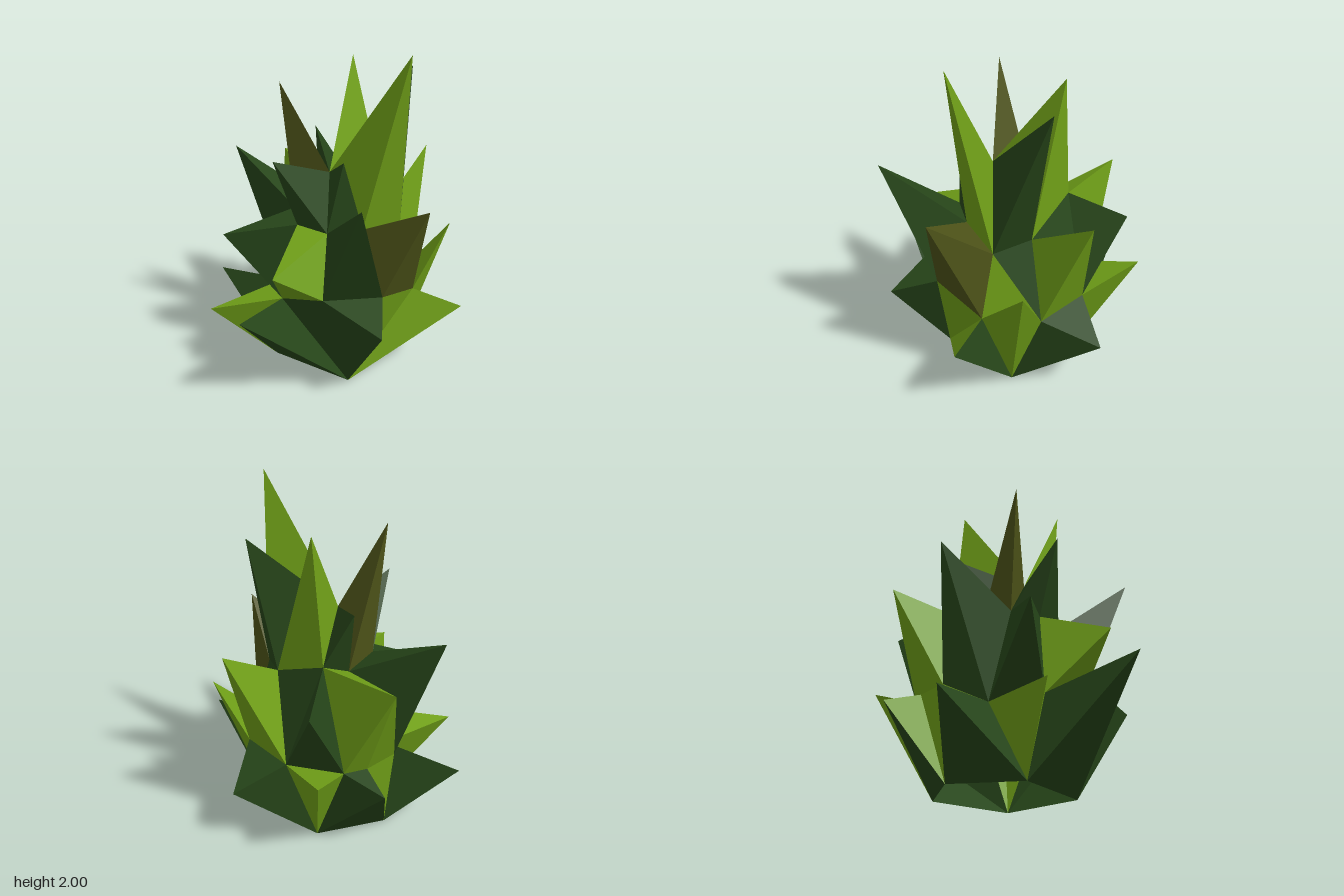
import * as THREE from 'three';

// Light, dark and brownish foliage
const paint = (color) => new THREE.MeshStandardMaterial({ color, flatShading: true, side: THREE.DoubleSide });
const mats = { L: paint(0x70a018), D: paint(0x264519), B: paint(0x4c5218) };

// Corners of the faceted core, which is open underneath
const P = {
  // ground pentagon
  b0: [-0.18, 0, 0.31], b1: [0.34, 0, 0.31], b2: [0.43, 0, -0.2], b3: [0.08, 0, -0.43], b4: [-0.27, 0, -0.2],
  // lower ring
  c0: [-0.09, 0.63, 0.48], c1: [0.24, 0.52, 0.46], c2: [0.51, 0.52, 0.26], c3: [0.55, 0.52, -0.08],
  c4: [0.4, 0.52, -0.38], c5: [0.28, 0.52, -0.45], c6: [0.07, 0.52, -0.48], c7: [-0.09, 0.43, -0.3],
  c8: [-0.31, 0.48, -0.1], c9: [-0.34, 0.63, 0.25],
  // upper ring
  d0: [-0.03, 0.97, 0.28], d1: [0.23, 0.91, 0.35], d2: [0.35, 0.96, 0.16], d3: [0.34, 1.1, -0.18],
  d4: [0.11, 0.97, -0.17], d5: [-0.12, 1.0, -0.16], d6: [-0.23, 0.97, -0.04], d7: [-0.2, 0.97, 0.16],
  // crown
  top: [-0.04, 1.26, 0.04],
};

// Each leaf: base corners around its foot, tip, and a colour per side (one letter = all sides)
const tiers = {
  lowerLeaf: [
    ['b0 b1 c1', [0.31, 0.49, 0.76], 'DDL'],
    ['b1 c2 c1', [0.56, 0.85, 0.49], 'L'],
    ['b1 b2 c3 c2', [0.81, 0.38, 0.09], 'D'],
    ['b2 c4 c3', [0.69, 0.62, -0.45], 'L'],
    ['b2 b3 c5 c4', [0.36, 0.46, -0.64], 'DLDD'],
    ['b3 b4 c7', [-0.2, 0.38, -0.76], 'D'],
    ['b4 c8 c7', [-0.6, 0.41, -0.42], 'L'],
    ['b4 b0 c8', [-0.81, 0.64, 0.07], 'D'],
    ['b0 c0 c9', [-0.31, 0.54, 0.65], 'D'],
  ],
  middleLeaf: [
    ['c0 c1 d1 d0', [0.05, 1.18, 0.67], 'B'],
    ['c2 c3 d2', [0.75, 1.21, 0.16], 'L'],
    ['c3 c4 d3', [0.64, 0.98, -0.35], 'D'],
    ['c4 c5 c6 d4 d3', [0.32, 1.1, -0.66], 'L'],
    ['c6 c7 d5 d4', [-0.09, 1.24, -0.68], 'D'],
    ['c7 c8 d6 d5', [-0.48, 0.88, -0.4], 'D'],
    ['c8 c9 d7 d6', [-0.6, 0.84, 0.12], 'L'],
    ['c9 c0 d0 d7', [-0.41, 1.33, 0.57], 'D'],
  ],
  crownLeaf: [
    ['d0 d1 top', [0.06, 2.0, 0.5], 'L'],
    ['d1 d2 top', [0.5, 1.79, 0.2], 'D'],
    ['d2 d3 top', [0.34, 1.83, -0.11], 'L'],
    ['d3 d4 top', [0.2, 1.39, -0.28], 'D'],
    ['d4 d5 top', [-0.19, 1.78, -0.19], 'B'],
    ['d5 d6 d7 top', [-0.39, 1.41, -0.06], 'D'],
    ['d7 d0 top', [-0.12, 1.39, 0.21], 'D'],
  ],
};

// Flat facets left without a leaf
const facets = [
  ['b0 c1 c0', 'L'], ['c1 c2 d1', 'L'], ['c2 d2 d1', 'D'], ['c3 d3 d2', 'D'],
  ['b3 c5 c6', 'L'], ['b3 c6 c7', 'L'], ['b0 c9 c8', 'D'],
];

const points = (names) => names.split(' ').map((n) => new THREE.Vector3(...P[n]));

// Triangle turned so that its front looks away from an inner point
function outward(a, b, c, inner) {
  const n = b.clone().sub(a).cross(c.clone().sub(a));
  return n.dot(a.clone().sub(inner)) < 0 ? [a, c, b] : [a, b, c];
}

function facetMesh(triangles, colour, name) {
  const geo = new THREE.BufferGeometry().setFromPoints(triangles.flat());
  geo.computeVertexNormals();
  const mesh = new THREE.Mesh(geo, mats[colour]);
  mesh.name = name;
  return mesh;
}

// Pointed pyramid over a base polygon
function leaf([names, tip, colours], name) {
  const group = new THREE.Group();
  group.name = name;
  const base = points(names);
  const apex = new THREE.Vector3(...tip);
  const inner = base.reduce((s, p) => s.add(p), new THREE.Vector3()).divideScalar(base.length);
  const sides = {};
  base.forEach((p, i) => {
    const next = base[(i + 1) % base.length];
    (sides[colours[i] ?? colours[0]] ??= []).push(outward(p, next, apex, inner));
  });
  for (const [colour, triangles] of Object.entries(sides)) {
    group.add(facetMesh(triangles, colour, 'leafSides'));
  }
  return group;
}

export function createModel() {
  const model = new THREE.Group();
  model.name = 'spikyPlant';
  for (const [tier, leaves] of Object.entries(tiers)) {
    leaves.forEach((l, i) => model.add(leaf(l, `${tier}${i + 1}`)));
  }
  const centre = new THREE.Vector3(0.05, 0.5, 0);
  facets.forEach(([names, colour], i) => {
    model.add(facetMesh([outward(...points(names), centre)], colour, `coreFacet${i + 1}`));
  });
  return model;
}
